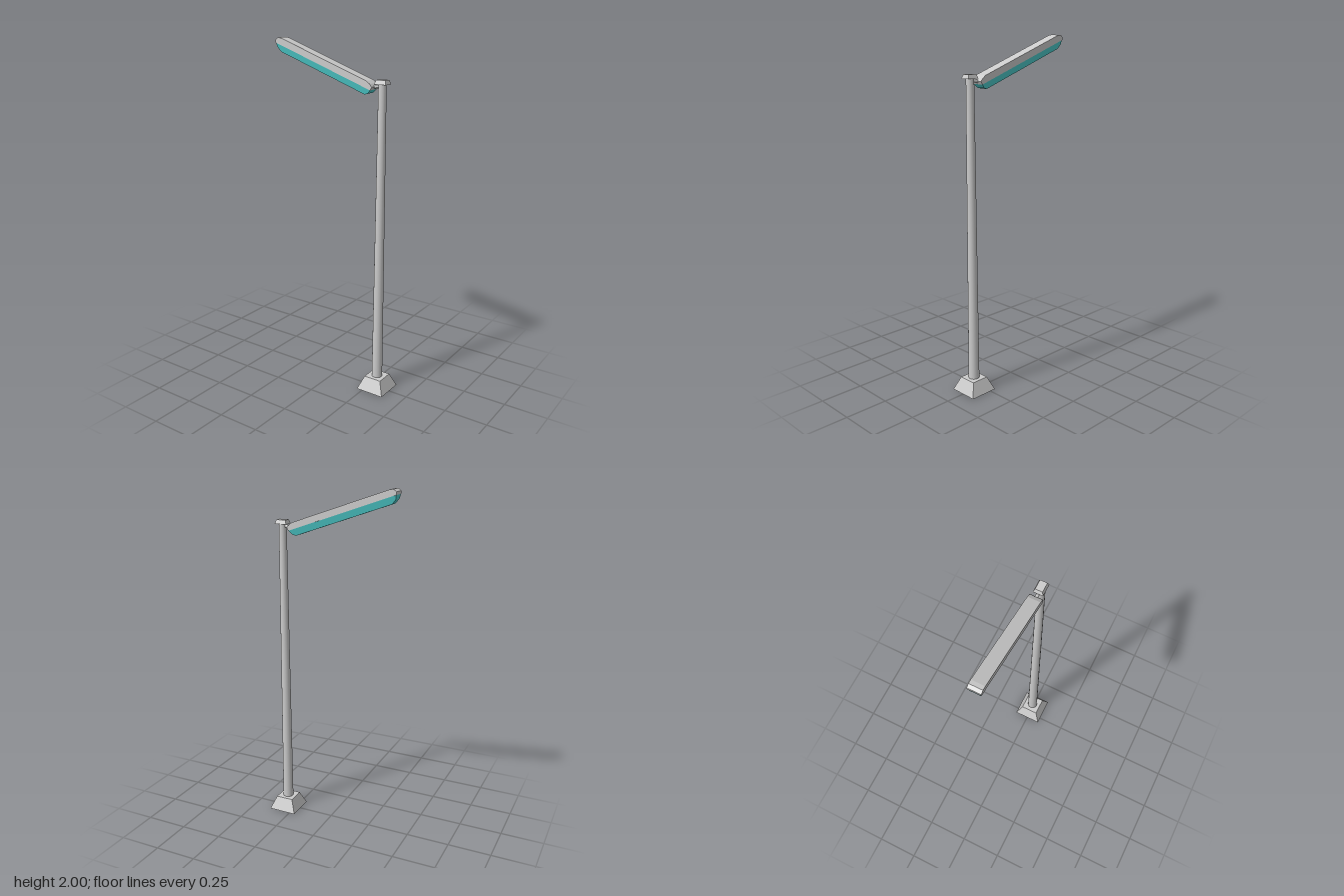
import * as THREE from 'three';

const POLE_X = 0.3;

// Box whose top is a different size from its bottom; the underside can be left open.
function frustum(wb, db, wt, dt, h, open = false) {
  const g = new THREE.BoxGeometry(wb, h, db);
  const p = g.attributes.position;
  for (let i = 0; i < p.count; i++) {
    if (p.getY(i) > 0) p.setXYZ(i, Math.sign(p.getX(i)) * wt / 2, h / 2, Math.sign(p.getZ(i)) * dt / 2);
  }
  if (open) {
    const index = Array.from(g.index.array);
    index.splice(18, 6); // underside face
    g.setIndex(index);
  }
  g.translate(0, h / 2, 0);
  g.computeVertexNormals();
  return g;
}

// Side profile extruded evenly to both sides of z = 0.
function extrudeProfile(points, halfWidth) {
  const shape = new THREE.Shape(points.map(([x, y]) => new THREE.Vector2(x, y)));
  const g = new THREE.ExtrudeGeometry(shape, { depth: halfWidth * 2, bevelEnabled: false });
  return g.translate(0, 0, -halfWidth);
}

export function createModel() {
  const group = new THREE.Group();
  const grey = new THREE.MeshStandardMaterial({ color: 0xcccccc, flatShading: true });
  const smoothGrey = new THREE.MeshStandardMaterial({ color: 0xcccccc });
  const hollowGrey = new THREE.MeshStandardMaterial({ color: 0xcccccc, flatShading: true, side: THREE.DoubleSide });
  const glass = new THREE.MeshStandardMaterial({ color: 0x4fd0d0, flatShading: true });

  const add = (parent, name, geometry, material, x = 0, y = 0, z = 0) => {
    const mesh = new THREE.Mesh(geometry, material);
    mesh.name = name;
    mesh.position.set(x, y, z);
    parent.add(mesh);
    return mesh;
  };

  // Hollow foot, tapering pole and cap
  add(group, 'base', frustum(0.17, 0.17, 0.105, 0.105, 0.078, true), hollowGrey, POLE_X);
  add(group, 'pole', new THREE.CylinderGeometry(0.022, 0.031, 1.715, 16), smoothGrey, POLE_X, 0.075 + 1.715 / 2);
  add(group, 'cap', frustum(0.072, 0.056, 0.056, 0.04, 0.023), grey, POLE_X, 1.782);

  // Short bracket joining the lamp to the pole
  const a = new THREE.Vector3(0.235, 1.765, -0.002);
  const b = new THREE.Vector3(POLE_X, 1.772, -0.002);
  const path = new THREE.LineCurve3(a, b);
  add(group, 'bracket', new THREE.TubeGeometry(path, 1, 0.009, 10), smoothGrey);

  // Lamp head, tilted up away from the pole
  const lamp = new THREE.Group();
  lamp.name = 'lampHead';
  lamp.position.set(-0.384, 1.975, -0.001);
  lamp.rotation.z = THREE.MathUtils.degToRad(-19.4);
  group.add(lamp);

  const housing = [[0.001, -0.003], [0.668, -0.003], [0.672, 0.016], [0.655, 0.027],
    [0.63, 0.034], [0.03, 0.034], [0.008, 0.03], [-0.004, 0.012]];
  add(lamp, 'lampHousing', extrudeProfile(housing, 0.036), grey);

  // Lens narrows towards its underside
  const lens = extrudeProfile([[0.003, -0.003], [0.015, -0.024], [0.043, -0.041],
    [0.637, -0.041], [0.656, -0.028], [0.667, -0.003]], 0.034);
  const p = lens.attributes.position;
  for (let i = 0; i < p.count; i++) p.setZ(i, p.getZ(i) * (1 + (p.getY(i) + 0.003) * 8));
  lens.computeVertexNormals();
  add(lamp, 'lens', lens, glass);

  return group;
}
